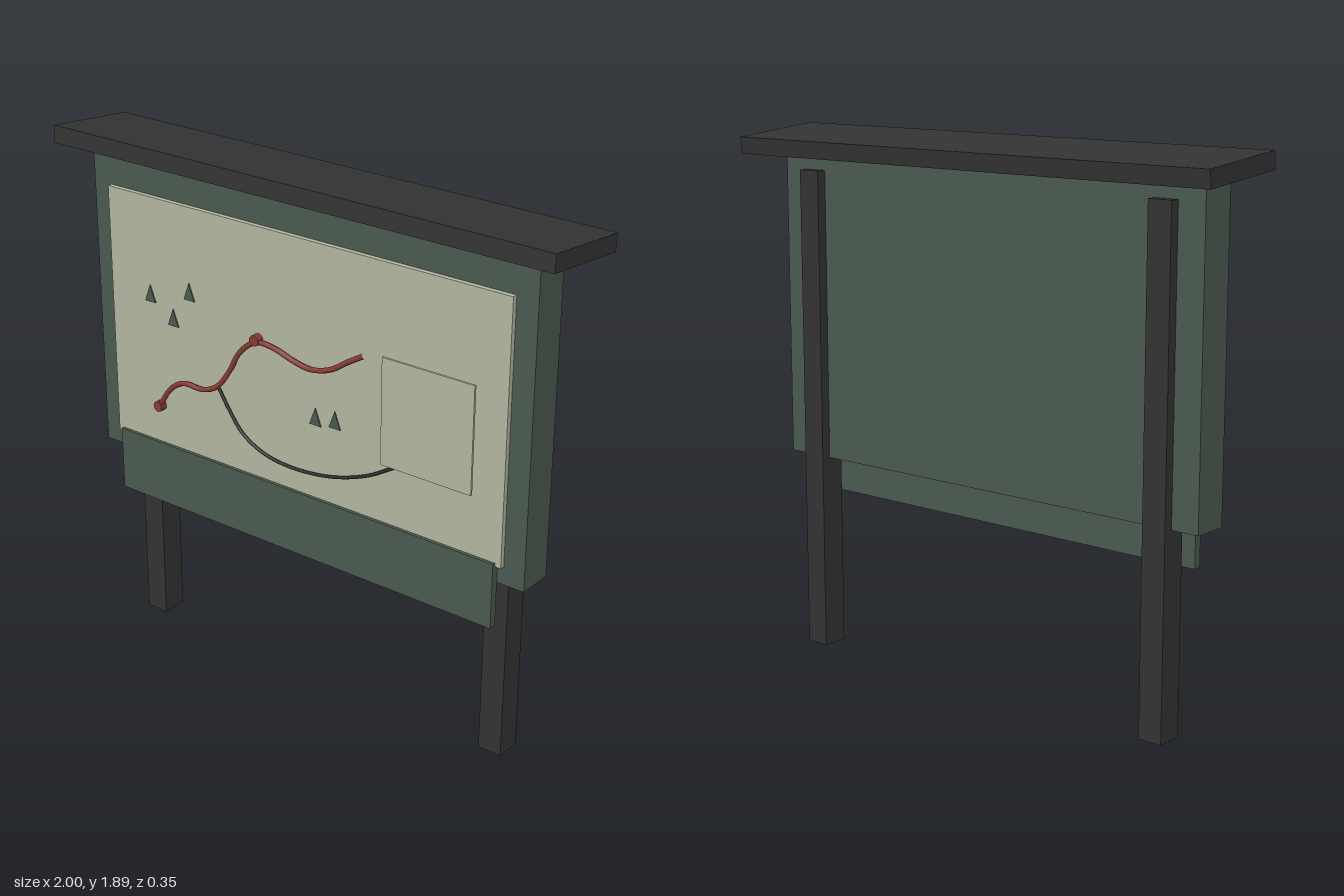
import * as THREE from 'three';

const mat = (name, color) => new THREE.MeshStandardMaterial({ name, color });

export function createModel() {
  const green = mat('green paint', 0x4a594f);
  const charcoal = mat('charcoal', 0x333333);
  const cream = mat('map cream', 0xb2b59e);
  const red = mat('trail red', 0x863c32);
  const dark = mat('dark trail', 0x2a2c2a);

  const model = new THREE.Group();
  model.name = 'trailMapBoard';

  const add = (name, geometry, material, x, y, z) => {
    const mesh = new THREE.Mesh(geometry, material);
    mesh.name = name;
    mesh.position.set(x, y, z);
    model.add(mesh);
    return mesh;
  };
  // Box given by its minimum and maximum corners
  const box = (name, material, [x0, y0, z0], [x1, y1, z1]) =>
    add(name, new THREE.BoxGeometry(x1 - x0, y1 - y0, z1 - z0), material,
      (x0 + x1) / 2, (y0 + y1) / 2, (z0 + z1) / 2);

  // Posts
  for (const [side, x] of [['left', 0.755], ['right', -0.755]]) {
    box(side + 'Post', charcoal, [x - 0.044, 0, -0.08], [x + 0.044, 1.74, 0.014]);
  }

  // Cabinet, map panel and lower plank
  box('cabinet', green, [-0.9, 0.705, -0.045], [0.9, 1.8, 0.085]);
  box('mapPanel', cream, [-0.822, 0.77, 0.08], [0.822, 1.69, 0.103]);
  box('lowerPlank', green, [-0.8, 0.548, 0.087], [0.8, 0.783, 0.115]);

  // Roof board, tilted up at the front
  const roof = add('roof', new THREE.BoxGeometry(2, 0.06, 0.345), charcoal, 0, 1.838, 0);
  roof.rotation.x = -0.1;

  // Trails drawn as tubes on the map
  const trail = (name, material, radius, z, points) => {
    const curve = new THREE.CatmullRomCurve3(points.map(([x, y]) => new THREE.Vector3(x, y, z)));
    add(name, new THREE.TubeGeometry(curve, 64, radius, 8), material, 0, 0, 0);
  };
  trail('mainTrail', red, 0.0095, 0.118, [
    [-0.605, 0.93], [-0.55, 1.01], [-0.49, 1.048], [-0.4, 1.05], [-0.335, 1.08], [-0.28, 1.15],
    [-0.23, 1.235], [-0.16, 1.289], [-0.08, 1.288], [0, 1.265], [0.07, 1.255], [0.15, 1.275],
    [0.22, 1.32], [0.285, 1.36]]);
  trail('sideTrail', dark, 0.006, 0.114, [
    [-0.335, 1.08], [-0.29, 1.01], [-0.23, 0.935], [-0.14, 0.887], [-0.02, 0.87],
    [0.15, 0.887], [0.3, 0.938], [0.42, 1.008]]);

  // Trail markers
  for (const [x, y] of [[-0.605, 0.93], [-0.16, 1.298]]) {
    const marker = add('trailMarker', new THREE.CylinderGeometry(0.019, 0.019, 0.026, 20), red, x, y, 0.117);
    marker.rotation.x = Math.PI / 2;
  }

  // Legend plate
  box('legend', cream, [0.365, 1.005, 0.121], [0.716, 1.382, 0.129]);

  // Little trees on the map
  const tree = new THREE.Shape([
    new THREE.Vector2(-0.024, 0), new THREE.Vector2(0.024, 0), new THREE.Vector2(0, 0.062)]);
  const treeGeometry = new THREE.ExtrudeGeometry(tree, { depth: 0.006, bevelEnabled: false });
  for (const [x, y] of [[-0.642, 1.31], [-0.539, 1.245], [-0.463, 1.358], [0.08, 1.052], [0.161, 1.063]]) {
    add('mapTree', treeGeometry, green, x, y, 0.101);
  }

  return model;
}
